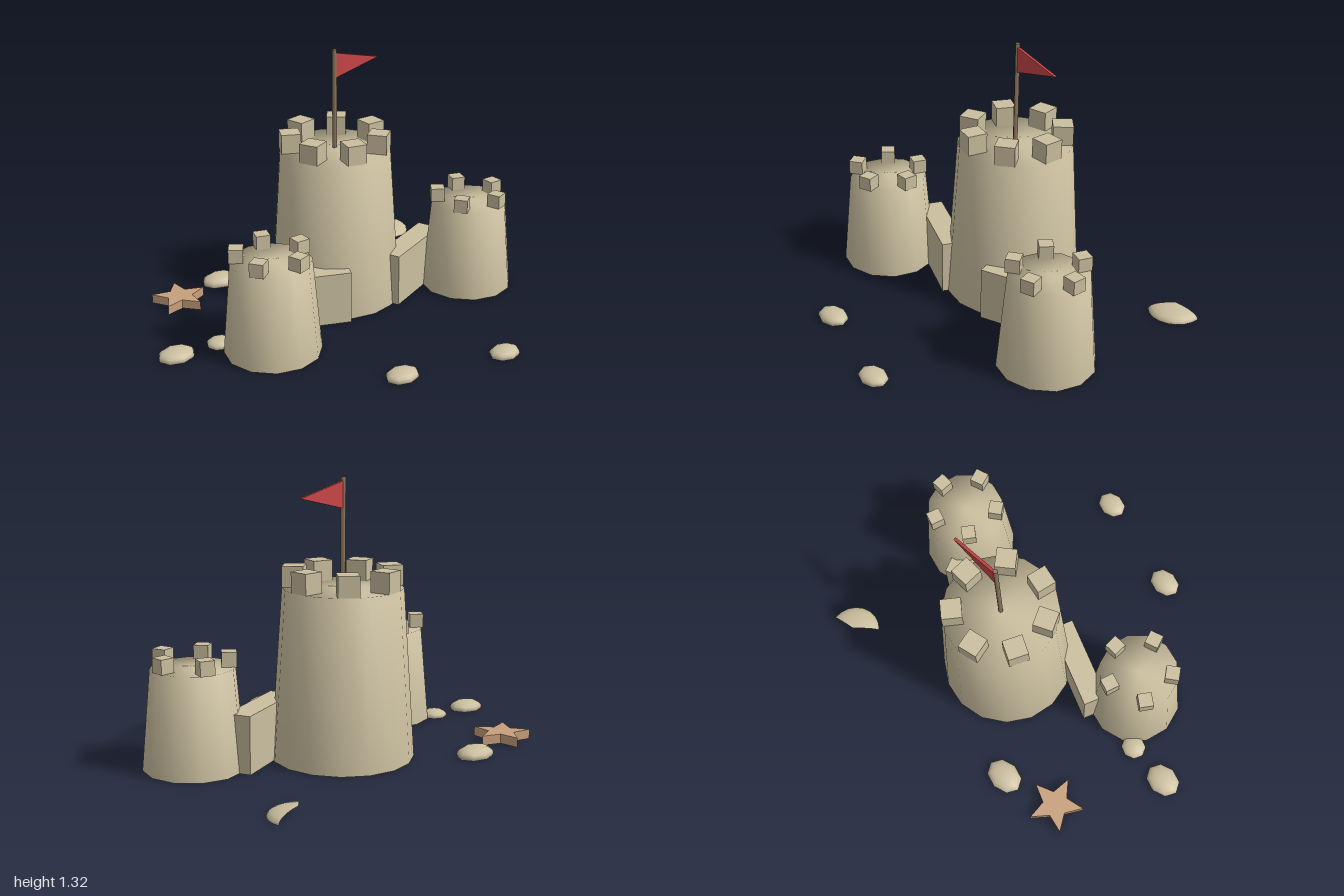
import * as THREE from 'three';

export function createModel() {
  const model = new THREE.Group();
  model.name = 'sandcastle';

  const mat = (name, color) => {
    const m = new THREE.MeshStandardMaterial({ color, side: THREE.DoubleSide });
    m.name = name;
    return m;
  };
  const sand = mat('sand', 0xcbbf9f);
  const wood = mat('wood', 0x8f7a60);
  const red = mat('flagRed', 0xc84646);
  const starColor = mat('starfishOrange', 0xc8a07c);

  const add = (parent, name, geometry, material, x = 0, y = 0, z = 0) => {
    const mesh = new THREE.Mesh(geometry, material);
    mesh.name = name;
    mesh.position.set(x, y, z);
    parent.add(mesh);
    return mesh;
  };

  // Tapered bucket tower, open below, with a ring of merlons
  function tower(name, x, z, rBottom, rTop, height, sides, count, ring, size) {
    const group = new THREE.Group();
    group.name = name;
    group.position.set(x, 0, z);
    const profile = [[rBottom, 0], [rTop, height], [0, height]].map(p => new THREE.Vector2(...p));
    add(group, 'towerBody', new THREE.LatheGeometry(profile, sides), sand);
    const box = new THREE.BoxGeometry(size, size, size);
    for (let i = 0; i < count; i++) {
      const a = (i / count) * Math.PI * 2;
      const merlon = add(group, 'merlon', box, sand,
        Math.cos(a) * ring, height + size / 2 - 0.001, Math.sin(a) * ring);
      merlon.rotation.y = -a;
    }
    model.add(group);
  }
  tower('mainTower', 0.13, -0.30, 0.34, 0.285, 0.81, 16, 7, 0.23, 0.10);
  tower('rightTower', -0.49, 0.03, 0.24, 0.197, 0.477, 12, 5, 0.165, 0.07);
  tower('leftTower', 0.76, 0.03, 0.24, 0.197, 0.477, 12, 5, 0.165, 0.07);

  // Angled walls between the towers
  const wall = new THREE.BoxGeometry(0.44, 0.275, 0.12);
  add(model, 'rightWall', wall, sand, -0.20, 0.1375, -0.10).rotation.y = -0.385;
  add(model, 'leftWall', wall, sand, 0.468, 0.1375, -0.10).rotation.y = 0.385;

  // Flagpole and pennant
  add(model, 'flagpole', new THREE.CylinderGeometry(0.012, 0.012, 0.53, 6), wood, 0.13, 1.058, -0.30);
  const pennant = new THREE.Shape([[0, 0], [0.262, 0.063], [0, 0.126]].map(p => new THREE.Vector2(...p)));
  add(model, 'flag', new THREE.ExtrudeGeometry(pennant, { depth: 0.014, bevelEnabled: false }),
    red, 0.138, 1.178, -0.307);

  // Starfish lying on the beach
  const points = [];
  for (let i = 0; i < 10; i++) {
    const r = i % 2 ? 0.065 : 0.143, a = (i * Math.PI) / 5;
    points.push(new THREE.Vector2(Math.cos(a) * r, Math.sin(a) * r));
  }
  const star = new THREE.ExtrudeGeometry(new THREE.Shape(points), { depth: 0.047, bevelEnabled: false });
  star.rotateX(-Math.PI / 2);
  add(model, 'starfish', star, starColor, -0.605, 0, -0.67);

  // Rounded pebbles: x, z, half width, half depth, height
  const pebble = new THREE.SphereGeometry(1, 8, 6, 0, Math.PI * 2, 0, Math.PI * 0.6);
  const drop = -Math.cos(Math.PI * 0.6);
  const pebbles = [
    [-0.31, -0.75, 0.102, 0.076, 0.055],
    [-0.905, -0.185, 0.095, 0.076, 0.05],
    [-0.675, -0.165, 0.066, 0.062, 0.04],
    [-0.16, 0.615, 0.088, 0.068, 0.048],
    [0.37, 0.745, 0.082, 0.065, 0.045],
  ];
  for (const [x, z, w, d, h] of pebbles) {
    const ry = h / (1 + drop);
    add(model, 'pebble', pebble, sand, x, ry * drop, z).scale.set(w, ry, d);
  }

  // Fan shell: a sector of a shallow dome
  const fan = new THREE.SphereGeometry(1, 8, 6, 0.785, 2.53, 0, Math.PI / 2);
  add(model, 'shell', fan, sand, 0.838, 0, -0.77).scale.set(0.132, 0.045, 0.138);

  return model;
}
